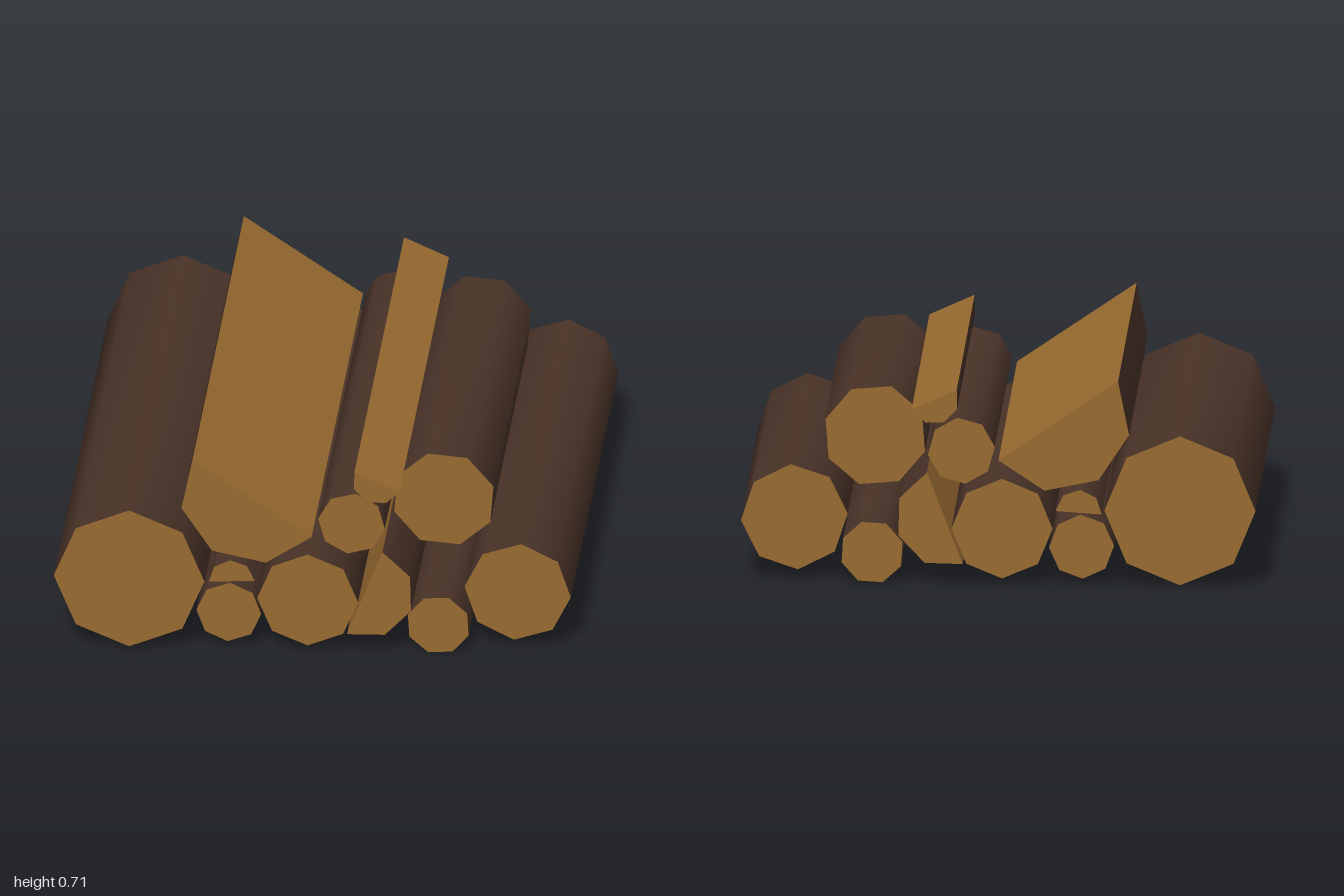
import * as THREE from 'three';

const bark = new THREE.MeshStandardMaterial({ color: 0x4a3328, side: THREE.DoubleSide });
bark.name = 'bark';
const wood = new THREE.MeshStandardMaterial({ color: 0x986a30, side: THREE.DoubleSide });
wood.name = 'cut wood';

// Eight-sided logs: centre, radius, angle of the first corner in degrees, half length.
// Split logs are half octagons, centred on the sawn face.
const logs = [
  { name: 'largeLeftLog', x: -.63, y: .272, r: .26, turn: 90, half: 1 },
  { name: 'middleLog', x: -.017, y: .2, r: .174, turn: 90, half: .965 },
  { name: 'rightLog', x: .7, y: .222, r: .184, turn: 86, half: .88 },
  { name: 'upperRightLog', x: .428, y: .475, r: .18, turn: 108, half: .695 },
  { name: 'upperMiddleLog', x: .126, y: .455, r: .116, turn: 83, half: .875 },
  { name: 'smallLeftLog', x: -.29, y: .137, r: .112, turn: 88, half: .955 },
  { name: 'smallRightLog', x: .431, y: .11, r: .111, turn: 71, half: .935 },
  { name: 'largeSplitLog', x: -.21, y: .575, r: .248, turn: -34, half: .955, split: true },
  { name: 'standingSplitLog', x: .18, y: .235, r: .171, turn: 69, half: .965, split: true },
  { name: 'topSplitLog', x: .218, y: .64, r: .085, turn: -24, half: .92, split: true },
  { name: 'smallSplitLog', x: -.28, y: .255, r: .08, turn: 184, half: .955, split: true },
];

// Corners of the cross-section, clockwise seen from the front.
function outline({ x, y, r, turn, split }) {
  return Array.from({ length: split ? 5 : 8 }, (_, i) => {
    const a = THREE.MathUtils.degToRad(turn - 45 * i);
    return new THREE.Vector2(x + r * Math.cos(a), y + r * Math.sin(a));
  });
}

// Lengthwise skin through a row of points, smooth across its edges.
function skin(pts, half, closed, keep = () => true) {
  const pos = [], all = [], kept = [];
  for (const { x, y } of pts) pos.push(x, y, half, x, y, -half);
  const n = pts.length;
  for (let i = 0; i < (closed ? n : n - 1); i++) {
    const j = (i + 1) % n, a = 2 * i, b = 2 * j;
    const quad = [a, b, b + 1, a, b + 1, a + 1];
    all.push(...quad);
    if (keep(pts[i], pts[j])) kept.push(...quad);
  }
  const geo = new THREE.BufferGeometry();
  geo.setAttribute('position', new THREE.Float32BufferAttribute(pos, 3));
  geo.setIndex(all);
  geo.computeVertexNormals();
  geo.setIndex(kept);
  return geo;
}

// Sawn end; the rear one is mirrored and turned to face backwards.
function endCap(pts, half, rear) {
  const shape = new THREE.Shape(pts.map(({ x, y }) => new THREE.Vector2(rear ? -x : x, y)));
  const geo = new THREE.ShapeGeometry(shape).translate(0, 0, half);
  return rear ? geo.rotateY(Math.PI) : geo;
}

function makeLog(spec) {
  const { name, y, r, half, split } = spec;
  const pts = outline(spec);
  const log = new THREE.Group();
  log.name = name;
  const add = (part, geo, mat) => {
    const mesh = new THREE.Mesh(geo, mat);
    mesh.name = part;
    log.add(mesh);
  };
  // Logs resting on the ground are open along the underside.
  const grounded = y - r < .1;
  const keep = (a, b) => !(grounded && (b.x - a.x) / a.distanceTo(b) < -.7);
  add('bark', skin(pts, half, !split, keep), bark);
  if (split) add('splitFace', skin([pts[4], pts[0]], half, false), wood);
  add('frontEnd', endCap(pts, half, false), wood);
  add('backEnd', endCap(pts, half, true), wood);
  return log;
}

export function createModel() {
  const pile = new THREE.Group();
  pile.name = 'logPile';
  for (const log of logs) pile.add(makeLog(log));
  return pile;
}
